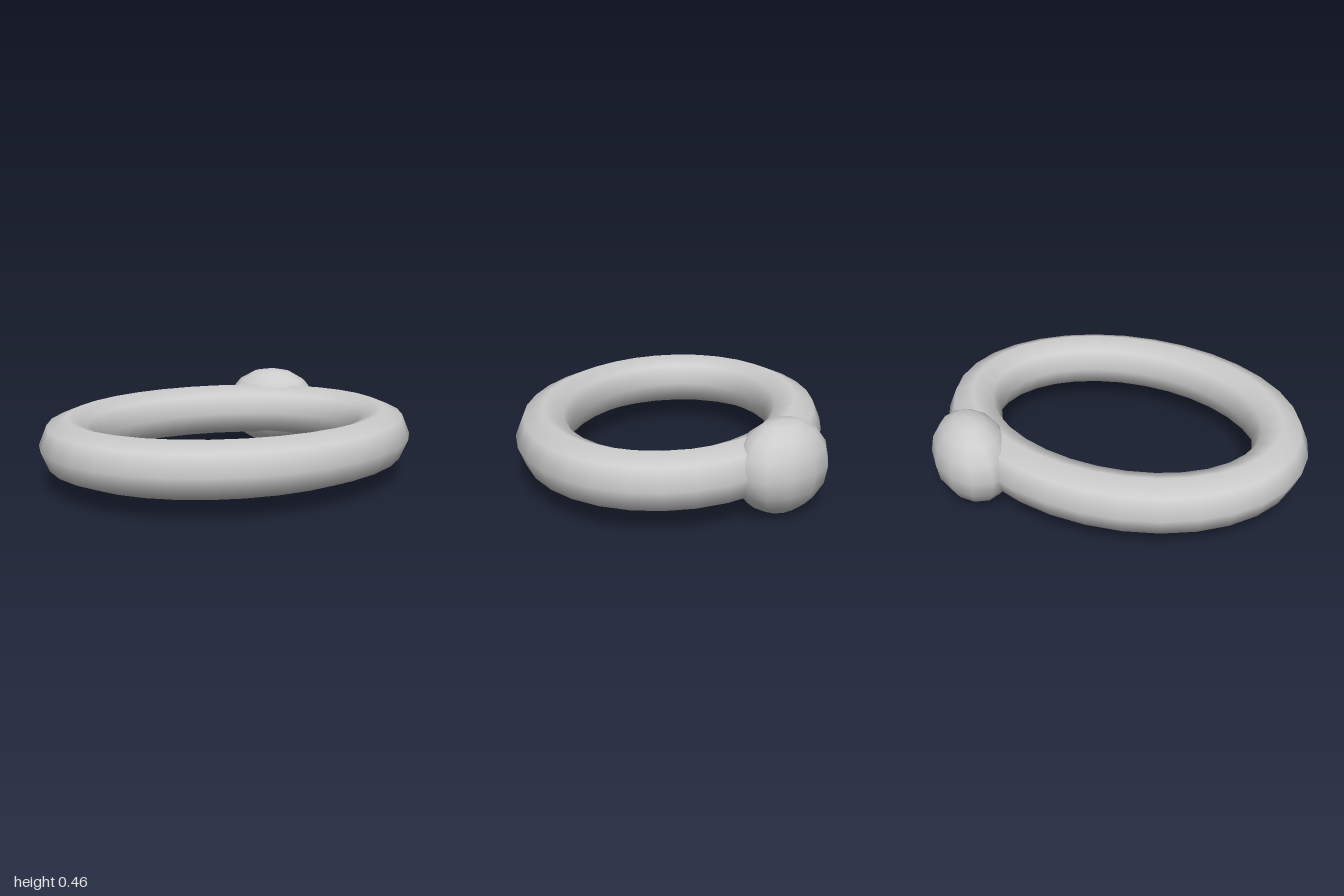
import * as THREE from 'three';
import { mergeVertices } from 'three/addons/utils/BufferGeometryUtils.js';

// Oval ring: a torus whose centreline is squeezed in z while the tube keeps its width
function ovalRing(rx, rz, tube, tubeSides, segments) {
  let geo = new THREE.TorusGeometry(rx, tube, tubeSides, segments).rotateX(Math.PI / 2);
  const p = geo.attributes.position;
  for (let i = 0; i < p.count; i++) {
    const x = p.getX(i), z = p.getZ(i);
    p.setZ(i, z - (rx - rz) * z / Math.hypot(x, z));
  }
  geo.deleteAttribute('uv');
  geo.deleteAttribute('normal');
  geo = mergeVertices(geo, 1e-4);
  geo.computeVertexNormals();
  return geo;
}

export function createModel() {
  const model = new THREE.Group();
  const grey = new THREE.MeshStandardMaterial({ color: 0xcccccc });
  grey.name = 'light grey';

  // Main ring lying flat
  const ring = new THREE.Mesh(ovalRing(0.855, 0.65, 0.145, 8, 32), grey);
  ring.name = 'ring';
  ring.position.set(0, 0.23, 0.025);
  model.add(ring);

  // Bead on the back left of the ring, longest along the ring's path
  const bead = new THREE.Mesh(new THREE.SphereGeometry(1, 12, 8), grey);
  bead.name = 'bead';
  bead.scale.set(0.275, 0.228, 0.195);
  bead.rotation.y = -0.575;
  bead.position.set(0.535, 0.23, -0.61);
  model.add(bead);

  return model;
}
